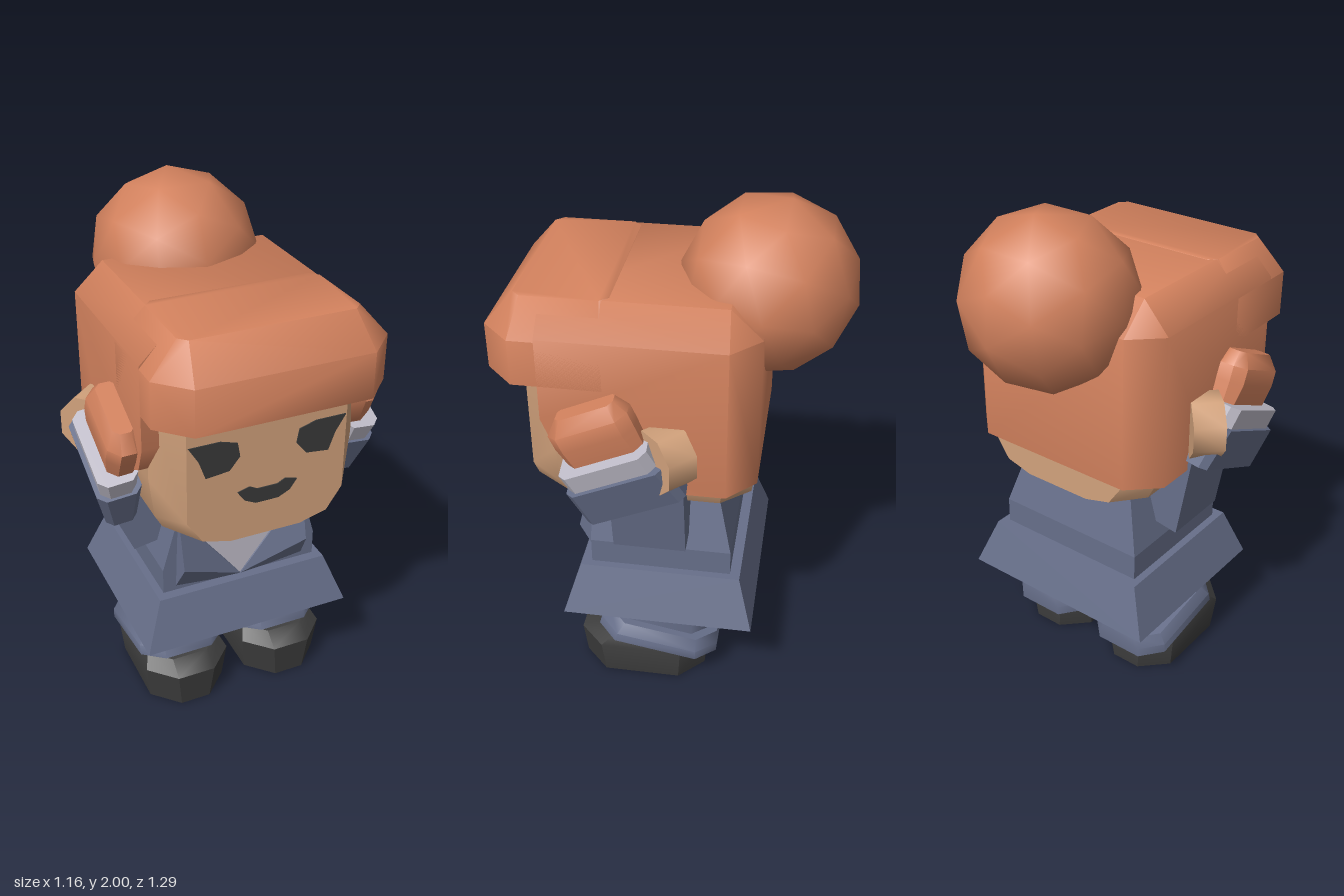
import * as THREE from 'three';
import { toCreasedNormals } from 'three/addons/utils/BufferGeometryUtils.js';
import { ConvexGeometry } from 'three/addons/geometries/ConvexGeometry.js';

const paint = (name, color) => {
  const m = new THREE.MeshStandardMaterial({ color });
  m.name = name;
  return m;
};

// Solid around a few corner points, with soft or sharp edges
function hull(points, crease = 0.5) {
  return toCreasedNormals(new ConvexGeometry(points.map((p) => new THREE.Vector3(...p))), crease);
}

// Points mirrored to both sides
const bothSides = (points) => points.flatMap(([x, y, z]) => [[x, y, z], [-x, y, z]]);

// Stack of rectangles with cut corners: [y, halfWidth, zBack, zFront, cut]
function block(rings, crease) {
  return hull(rings.flatMap(([y, w, z0, z1, c]) => bothSides(c
    ? [[w, y, z0 + c], [w - c, y, z0], [w, y, z1 - c], [w - c, y, z1]]
    : [[w, y, z0], [w, y, z1]])), crease);
}

export function createModel() {
  const model = new THREE.Group();
  model.name = 'figure';
  const hair = paint('hair orange', 0xd2815d);
  const skin = paint('skin tan', 0xd2a27c);
  const cloth = paint('cloth blue', 0x676f8a);
  const shirt = paint('shirt grey', 0xc0bdc9);
  const shoe = paint('shoe black', 0x3c3c3c);
  const ink = paint('face dark', 0x393a3a);

  const add = (name, geometry, material, parent = model) => {
    const mesh = new THREE.Mesh(geometry, material);
    mesh.name = name;
    parent.add(mesh);
    return mesh;
  };

  // Head
  add('head', hull(bothSides([
    [0.31, 1.55, 0.52], [0.31, 1.01, 0.52], [0.25, 0.92, 0.52], [0.14, 0.89, 0.52],
    [0.41, 1.55, 0.4], [0.405, 1.15, 0.4], [0.385, 0.99, 0.4], [0.35, 0.925, 0.38], [0.2, 0.89, 0.4],
    [0.41, 1.55, -0.21], [0.405, 1.15, -0.21], [0.385, 0.99, -0.21], [0.35, 0.925, -0.2],
    [0.31, 1.55, -0.31], [0.31, 1.01, -0.31], [0.25, 0.92, -0.31], [0.14, 0.89, -0.31],
  ]), 0.5), skin);

  // Hair: cap, overhanging fringe and bun
  add('hairCap', hull(bothSides([
    [0.33, 1.73, -0.22], [0.33, 1.73, 0.44],
    [0.44, 1.62, -0.23], [0.33, 1.62, -0.335], [0.44, 1.62, 0.44],
    [0.44, 1.02, -0.23], [0.33, 1.02, -0.335], [0.44, 1.02, 0.05],
    [0.44, 1.17, 0.33], [0.44, 1.2, 0.4], [0.44, 1.3, 0.44],
  ]), 0.85), hair);
  add('fringe', block([
    [1.435, 0.44, 0.1, 0.645, 0.11],
    [1.61, 0.44, 0.1, 0.645, 0.11],
    [1.731, 0.335, 0.2, 0.54, 0.03],
  ], 0.9), hair);
  const bun = add('hairBun', new THREE.IcosahedronGeometry(0.33, 1), hair);
  bun.position.set(0, 1.675, -0.325);
  bun.rotation.x = -0.2;

  // Face plates
  const plate = (points) => {
    const g = new THREE.ExtrudeGeometry(
      new THREE.Shape(points.map((p) => new THREE.Vector2(...p))), { depth: 0.006, bevelEnabled: false });
    return g.translate(0, 0, 0.518);
  };
  const eye = [[0.305, 1.32], [0.185, 1.32], [0.12, 1.3], [0.11, 1.245], [0.15, 1.195], [0.24, 1.185], [0.265, 1.255]];
  const mouth = [[-0.118, 1.095], [-0.09, 1.055], [-0.045, 1.033], [0.045, 1.033], [0.09, 1.055], [0.118, 1.095],
    [0.07, 1.108], [0.04, 1.092], [-0.04, 1.092], [-0.07, 1.108]];
  add('mouth', plate(mouth), ink);

  // Torso and flared coat skirt
  add('torso', block([
    [0.92, 0.25, -0.18, 0.31, 0],
    [0.66, 0.325, -0.245, 0.31, 0],
    [0.54, 0.325, -0.245, 0.31, 0],
  ], 0.2), cloth);
  add('coatSkirt', block([
    [0.555, 0.355, -0.285, 0.35, 0],
    [0.357, 0.43, -0.344, 0.413, 0],
  ], 0.2), cloth);
  const front = new THREE.Shape([new THREE.Vector2(-0.265, 0.9), new THREE.Vector2(0, 0.556), new THREE.Vector2(0.265, 0.9)]);
  add('shirtFront', new THREE.ExtrudeGeometry(front, { depth: 0.006, bevelEnabled: false }), shirt).position.z = 0.307;

  for (const s of [1, -1]) {
    const side = s > 0 ? 'left' : 'right';
    add(side + 'Eye', plate(eye.map(([x, y]) => [s * x, y])), ink);

    // Raised lapel
    add(side + 'Lapel', hull([
      [0.26, 0.9, 0.3], [0.26, 0.89, 0.318], [0, 0.557, 0.318], [0.26, 0.68, 0.37], [0.275, 0.557, 0.3], [0, 0.557, 0.3],
    ].map(([x, y, z]) => [s * x, y, z]), 0.1), cloth);

    // Ear disc, turned halfway to the front
    const ear = add(side + 'Ear', toCreasedNormals(
      new THREE.CylinderGeometry(0.125, 0.125, 0.12, 8, 1, false, Math.PI / 8), 0.9), skin);
    ear.position.set(s * 0.456, 1.19, -0.008);
    ear.quaternion.setFromUnitVectors(new THREE.Vector3(0, 1, 0), new THREE.Vector3(s, 0, 1).normalize());

    // Upper arm
    const upperArm = add(side + 'UpperArm', new THREE.BoxGeometry(0.16, 0.36, 0.28), cloth);
    upperArm.position.set(s * 0.35, 0.905, 0.062);
    upperArm.rotation.z = -s * 0.17;

    // Forearm with sleeve, cuff and hand, raised forwards
    const forearm = new THREE.Group();
    forearm.name = side + 'Forearm';
    forearm.position.set(s * 0.472, 1.06, 0.125);
    forearm.rotation.set(0.42, 0, -s * 0.13);
    model.add(forearm);
    add(side + 'Sleeve', block([
      [-0.085, 0.06, -0.2, 0.2, 0.025],
      [0.085, 0.085, -0.195, 0.195, 0.03],
    ], 0.3), cloth, forearm);
    add(side + 'Cuff', block([
      [0.08, 0.068, -0.165, 0.185, 0.03],
      [0.165, 0.076, -0.165, 0.185, 0.03],
    ], 0.3), shirt, forearm);
    const hand = add(side + 'Hand', block([
      [0.14, 0.055, -0.145, 0.15, 0.03],
      [0.24, 0.07, -0.15, 0.165, 0.04],
      [0.3, 0.068, -0.15, 0.165, 0.04],
      [0.355, 0.04, -0.12, 0.11, 0.02],
    ], 0.7), hair, forearm);
    hand.position.x = -s * 0.012;
    hand.rotation.z = s * 0.1;

    // Leg, slanted trouser cuff and shoe
    const leg = new THREE.Group();
    leg.name = side + 'Leg';
    leg.position.x = s * 0.215;
    model.add(leg);
    add(side + 'Shin', block([
      [0.37, 0.118, -0.155, 0.225, 0.06],
      [0.15, 0.132, -0.155, 0.225, 0.06],
    ], 0.85), cloth, leg);
    const hem = add(side + 'TrouserCuff', block([
      [0.045, 0.155, -0.235, 0.225, 0.08],
      [0, 0.18, -0.245, 0.245, 0.08],
      [-0.04, 0.18, -0.25, 0.25, 0.08],
    ], 0.85), cloth, leg);
    hem.position.set(0, 0.198, 0.043);
    hem.rotation.x = -0.175;
    add(side + 'Shoe', block([
      [0, 0.162, -0.145, 0.362, 0.1],
      [0.15, 0.178, -0.155, 0.375, 0.1],
      [0.195, 0.155, -0.13, 0.305, 0.08],
    ], 0.6), shoe, leg);
  }
  return model;
}
